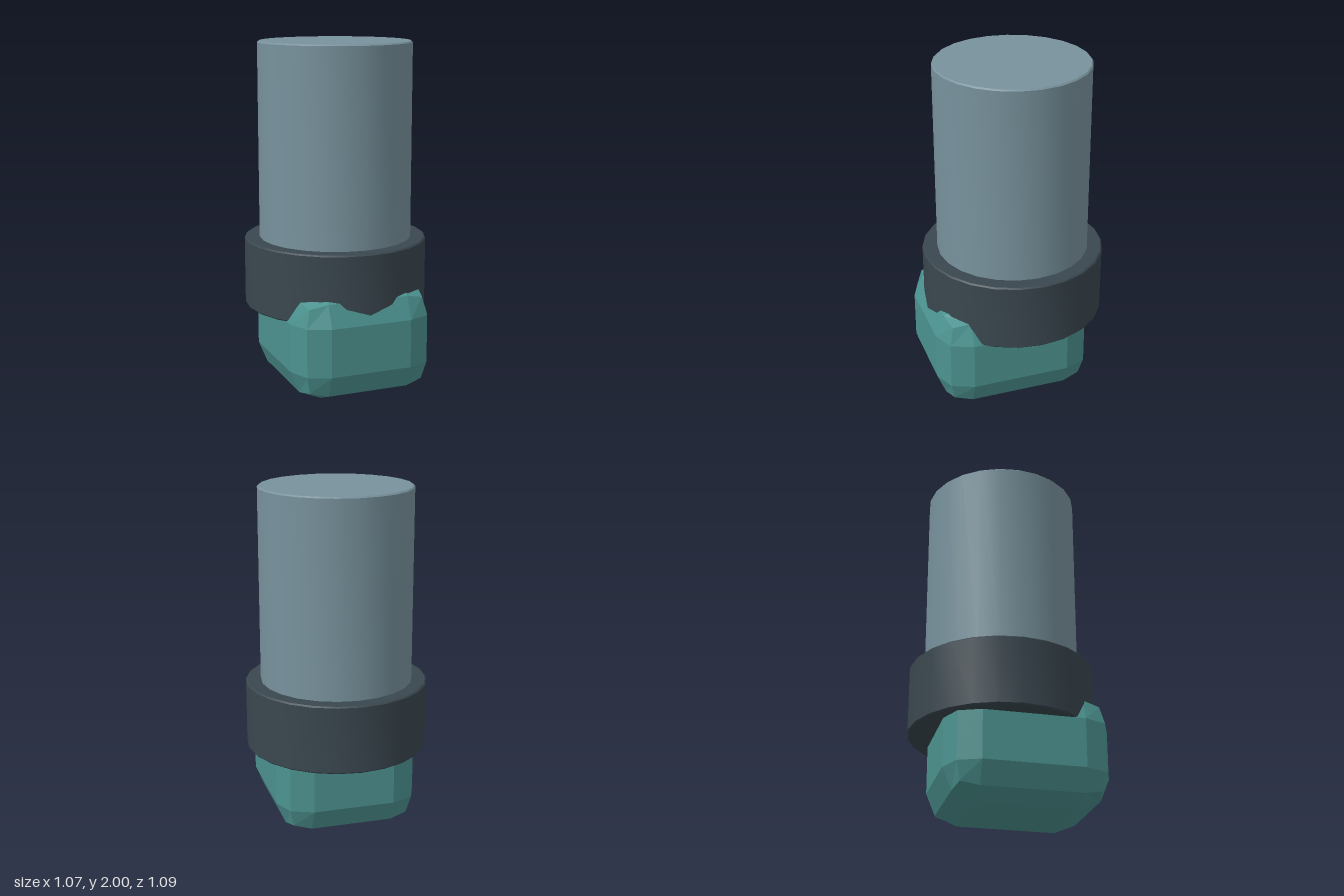
import * as THREE from 'three';
import { toCreasedNormals } from 'three/addons/utils/BufferGeometryUtils.js';
import { RoundedBoxGeometry } from 'three/addons/geometries/RoundedBoxGeometry.js';

const material = (name, color) => {
  const m = new THREE.MeshStandardMaterial({ color });
  m.name = name;
  return m;
};

// Capped 24-sided cylinder with a fine bevel on both rims
function bevelledCylinder(radius, bottom, top, bevel) {
  const profile = [
    [0, bottom], [radius - bevel, bottom], [radius, bottom + bevel],
    [radius, top - bevel], [radius - bevel, top], [0, top],
  ].map(([x, y]) => new THREE.Vector2(x, y));
  return toCreasedNormals(new THREE.LatheGeometry(profile, 24), 0.6);
}

export function createModel() {
  const model = new THREE.Group();
  model.name = 'model';

  const add = (name, geometry, mat, y, z) => {
    const mesh = new THREE.Mesh(geometry, mat);
    mesh.name = name;
    mesh.position.set(0, y, z);
    model.add(mesh);
  };

  // Tall shaft seated in the collar
  add('shaft', bevelledCylinder(0.447, 0.8, 2, 0.008), material('blue grey', 0x78929d), 0, -0.01);

  // Wide dark collar
  add('collar', bevelledCylinder(0.535, 0.46, 0.86, 0.008), material('dark slate', 0x3a474f), 0, -0.01);

  // Faceted block with two-step bevels, set slightly forward
  const block = new RoundedBoxGeometry(0.84, 0.64, 0.935, 1, 0.18);
  block.computeVertexNormals();
  add('baseBlock', block, material('teal', 0x4c9390), 0.32, 0.0775);

  return model;
}
